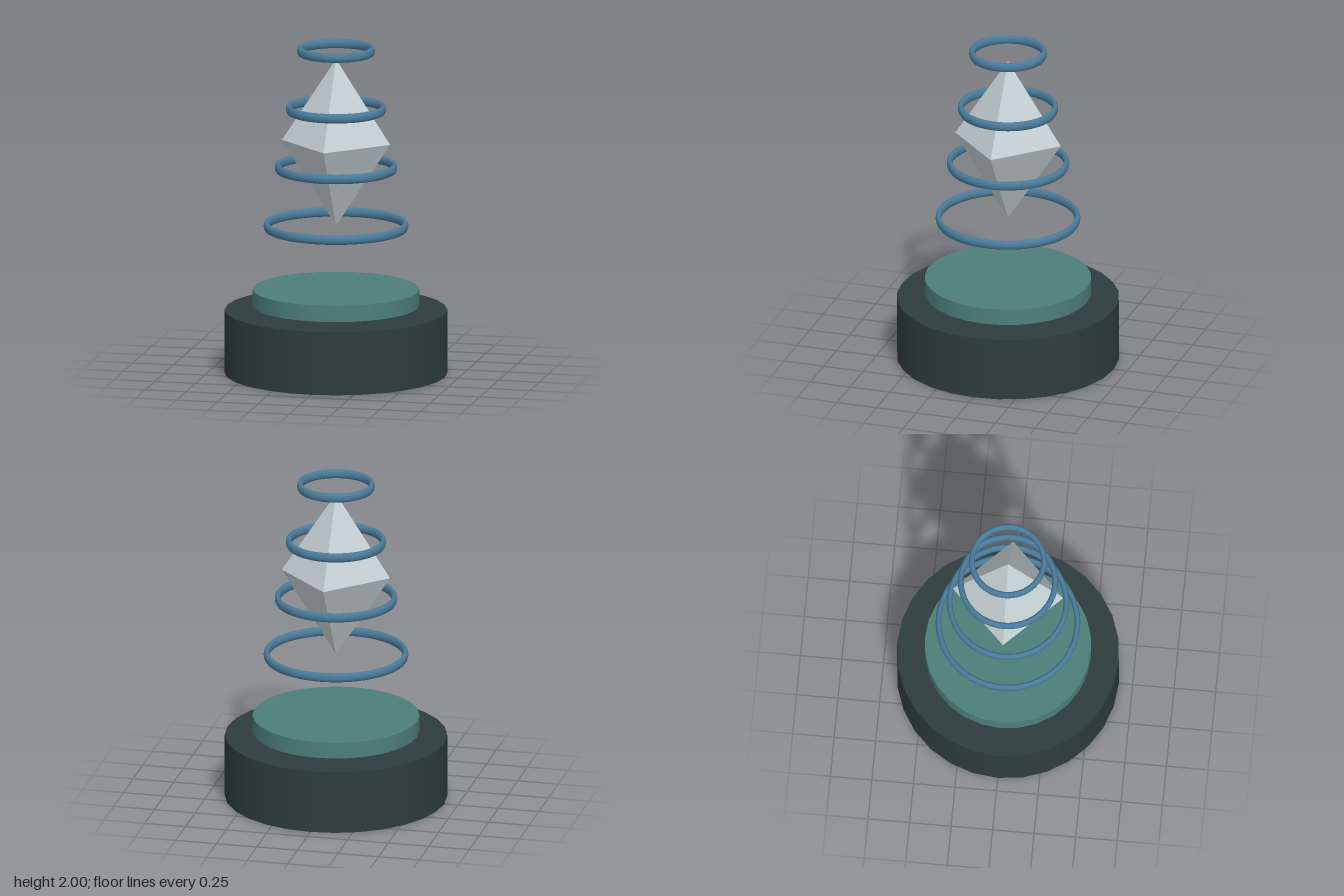
import * as THREE from 'three';

const makeMaterial = (name, color, options = {}) => {
  const material = new THREE.MeshStandardMaterial({ color, ...options });
  material.name = name;
  return material;
};

export function createModel() {
  const model = new THREE.Group();
  model.name = 'floatingCrystalPedestal';

  const darkStone = makeMaterial('dark stone', 0x2e3d3b);
  const tealPlate = makeMaterial('teal plate', 0x4d7f79);
  const blueMetal = makeMaterial('blue metal', 0x4a7c9c);
  const paleCrystal = makeMaterial('pale crystal', 0xc6d1d4, { flatShading: true });

  const add = (name, geometry, material, y) => {
    const mesh = new THREE.Mesh(geometry, material);
    mesh.name = name;
    mesh.position.y = y;
    model.add(mesh);
    return mesh;
  };

  // Round base and the plate hovering just above it
  add('base', new THREE.CylinderGeometry(0.667, 0.667, 0.386, 28), darkStone, 0.193);
  add('hoverPlate', new THREE.CylinderGeometry(0.5, 0.5, 0.1, 28), tealPlate, 0.463);

  // Four-sided double-pointed crystal
  const crystal = new THREE.OctahedronGeometry(1);
  crystal.scale(0.333, 0.51, 0.333);
  add('crystal', crystal, paleCrystal, 1.41);

  // Stack of rings, shrinking upwards, with a tall oval section
  const tube = 0.0175;
  const halfHeight = 0.029;
  for (let i = 0; i < 4; i++) {
    const ring = new THREE.TorusGeometry(0.4165 - i * 0.0667, tube, 12, 56);
    ring.rotateX(-Math.PI / 2);
    ring.scale(1, halfHeight / tube, 1);
    add(`ring${i + 1}`, ring, blueMetal, 0.898 + i * 0.3577);
  }

  return model;
}
